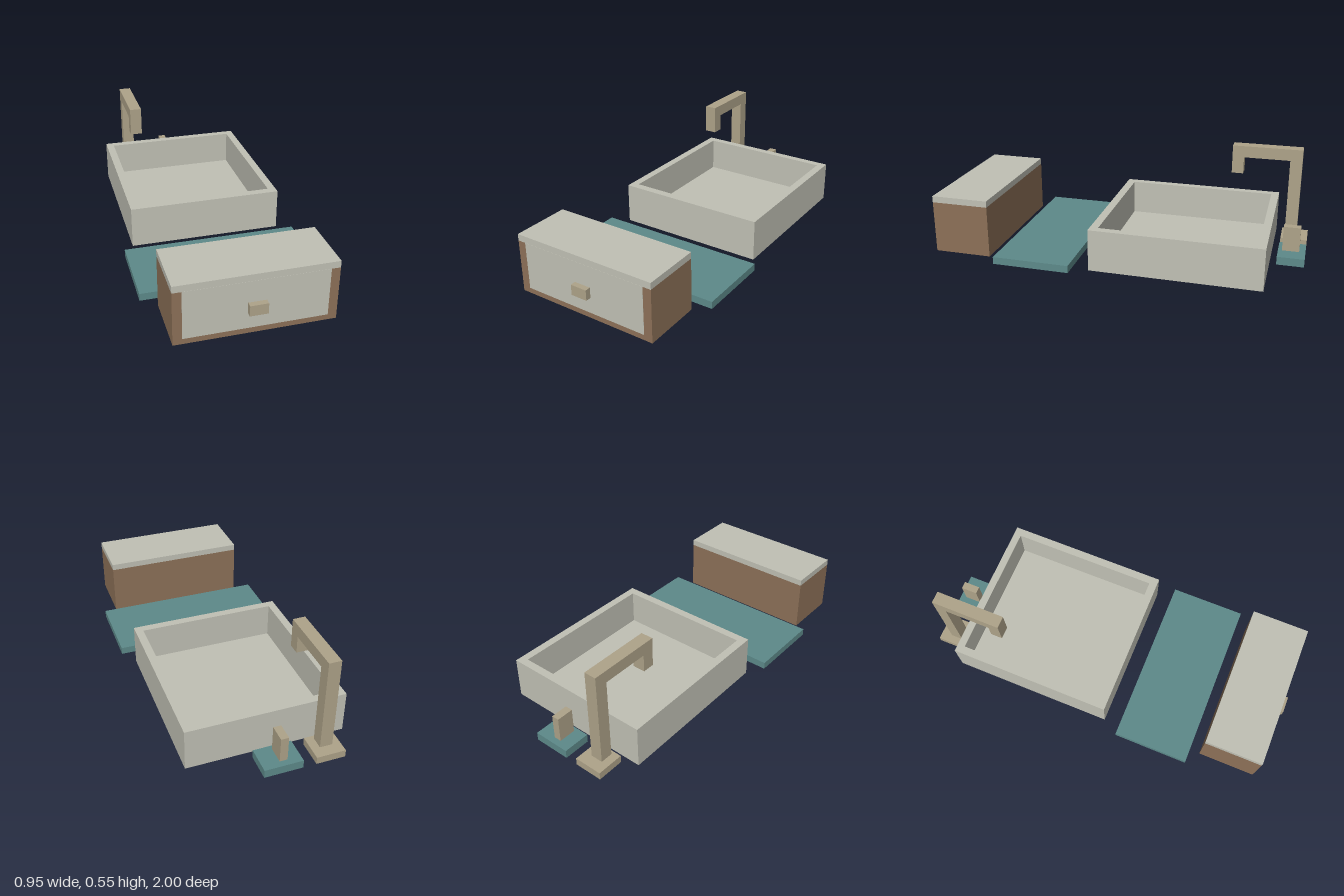
import * as THREE from 'three';

const mat = (name, color) => {
  const m = new THREE.MeshStandardMaterial({ color });
  m.name = name;
  return m;
};

export function createModel() {
  const root = new THREE.Group();
  root.name = 'kitchenSet';
  const stone = mat('paleStone', 0xc1c1b5);
  const wood = mat('brownWood', 0x8d7158);
  const brass = mat('dullBrass', 0xaea389);
  const teal = mat('teal', 0x5d8a8a);

  const group = (name) => {
    const g = new THREE.Group();
    g.name = name;
    root.add(g);
    return g;
  };
  // Box given by its limits on each axis
  const box = (parent, name, material, [x0, x1], [y0, y1], [z0, z1]) => {
    const mesh = new THREE.Mesh(new THREE.BoxGeometry(x1 - x0, y1 - y0, z1 - z0), material);
    mesh.position.set((x0 + x1) / 2, (y0 + y1) / 2, (z0 + z1) / 2);
    mesh.name = name;
    parent.add(mesh);
  };
  // Extruded outline, standing along +z of the shape
  const extrude = (parent, name, material, shape, depth) => {
    const mesh = new THREE.Mesh(new THREE.ExtrudeGeometry(shape, { depth, bevelEnabled: false }), material);
    mesh.name = name;
    parent.add(mesh);
    return mesh;
  };
  const outline = (pts) => pts.map(([a, b]) => new THREE.Vector2(a, b));
  const rect = (x0, x1, y0, y1) => outline([[x0, y0], [x1, y0], [x1, y1], [x0, y1]]);

  // Cabinet with top, inset front and handle
  const cabinet = group('cabinet');
  box(cabinet, 'cabinetBody', wood, [-0.397, 0.397], [0, 0.284], [0.655, 0.97]);
  box(cabinet, 'cabinetTop', stone, [-0.397, 0.397], [0.284, 0.319], [0.655, 0.97]);
  box(cabinet, 'drawerFront', stone, [-0.352, 0.352], [0.029, 0.284], [0.966, 0.971]);
  box(cabinet, 'drawerHandle', brass, [-0.045, 0.045], [0.115, 0.171], [0.97, 1]);

  // Flat slab
  box(root, 'slab', teal, [-0.477, 0.477], [0, 0.04], [0.178, 0.597]);

  // Basin: wall ring with a floor inside (shape y is -z)
  const basin = group('basin');
  const ring = new THREE.Shape(rect(-0.418, 0.418, -0.086, 0.819));
  ring.holes.push(new THREE.Path(rect(-0.375, 0.375, -0.042, 0.777)));
  extrude(basin, 'basinWalls', stone, ring, 0.227).rotation.x = -Math.PI / 2;
  box(basin, 'basinFloor', stone, [-0.375, 0.375], [0, 0.036], [-0.777, 0.042]);

  // Tap: foot plate and hooked spout (shape x is -z)
  const tap = group('tap');
  box(tap, 'tapFoot', brass, [-0.338, -0.184], [0, 0.04], [-1, -0.855]);
  const spout = extrude(tap, 'tapSpout', brass, new THREE.Shape(outline([
    [0.94, 0.04], [0.94, 0.545], [0.558, 0.545], [0.558, 0.387],
    [0.622, 0.387], [0.622, 0.481], [0.874, 0.481], [0.874, 0.04],
  ])), 0.066);
  spout.rotation.y = Math.PI / 2;
  spout.position.x = -0.295;

  // Lever on its own foot plate
  const lever = group('lever');
  box(lever, 'leverFoot', teal, [-0.115, 0.087], [0, 0.045], [-1, -0.855]);
  box(lever, 'leverPost', brass, [-0.045, -0.004], [0.045, 0.182], [-0.967, -0.876]);

  return root;
}
